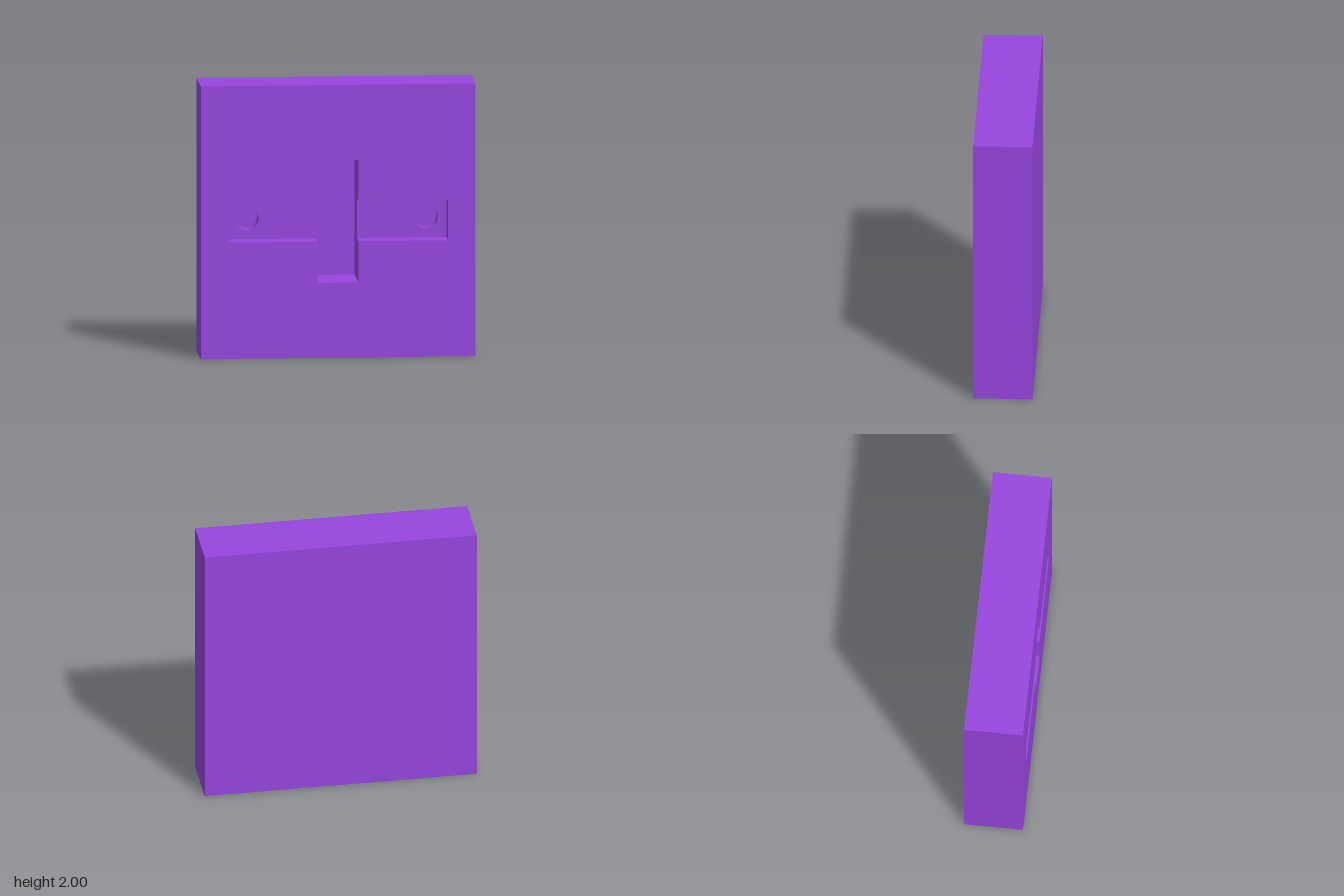
import * as THREE from 'three';
import { mergeGeometries, toCreasedNormals } from 'three/addons/utils/BufferGeometryUtils.js';

// Outlines run counter-clockwise seen from the front
const v = (x, y) => new THREE.Vector2(x, y);
const rect = (x0, x1, y0, y1) => [v(x0, y0), v(x1, y0), v(x1, y1), v(x0, y1)];
const circle = (cx, cy, r, n = 48) => Array.from({ length: n }, (_, i) => {
  const a = (i / n) * Math.PI * 2;
  return v(cx + r * Math.cos(a), cy + r * Math.sin(a));
});

// Flat face at depth z, with optional openings
function face(outline, z, holes = []) {
  const shape = new THREE.Shape(outline);
  shape.holes = holes.map((h) => new THREE.Path(h));
  const g = new THREE.ShapeGeometry(shape).toNonIndexed().translate(0, 0, z);
  g.deleteAttribute('uv');
  g.deleteAttribute('normal');
  return g;
}

// Strip of walls along an outline: outward when z0 < z1, inward when z0 > z1
function walls(outline, z0, z1) {
  const p = [];
  outline.forEach((a, i) => {
    const b = outline[(i + 1) % outline.length];
    p.push(a.x, a.y, z0, b.x, b.y, z0, b.x, b.y, z1);
    p.push(a.x, a.y, z0, b.x, b.y, z1, a.x, a.y, z1);
  });
  const g = new THREE.BufferGeometry();
  g.setAttribute('position', new THREE.Float32BufferAttribute(p, 3));
  return g;
}

export function createModel() {
  const model = new THREE.Group();
  const material = new THREE.MeshStandardMaterial({ color: 0x9645de });
  const add = (name, parts) => {
    const mesh = new THREE.Mesh(toCreasedNormals(mergeGeometries(parts), 0.5), material);
    mesh.name = name;
    model.add(mesh);
  };

  const front = 0.215, back = -0.215;
  const pocketZ = front - 0.17, slotZ = front - 0.395, holeZ = pocketZ - 0.13;
  const sx = 0.148, px = 0.8, y0 = 0.852, y1 = 1.148, s0 = 0.55, s1 = 1.45;

  const block = rect(-1, 1, 0, 2);
  const slot = rect(-sx, sx, s0, s1);
  const cross = [
    v(-sx, s0), v(sx, s0), v(sx, y0), v(px, y0), v(px, y1), v(sx, y1),
    v(sx, s1), v(-sx, s1), v(-sx, y1), v(-px, y1), v(-px, y0), v(-sx, y0),
  ];

  // Block with a cross-shaped opening in its front
  const backFace = face(block, 0).rotateY(Math.PI).translate(0, 0, back);
  add('block', [face(block, front, [cross]), walls(block, back, front), backFace]);

  // Deep upright slot and the shallow walls around the cross
  add('crossRecessWalls', [walls(cross, front, pocketZ)]);
  add('deepSlot', [walls(slot, pocketZ, slotZ), face(slot, slotZ)]);

  // Shallow side pockets, each with a blind round hole
  for (const [side, s] of [['left', 1], ['right', -1]]) {
    const hole = circle(s * 0.652, 1, 0.085);
    const floor = s > 0 ? rect(sx, px, y0, y1) : rect(-px, -sx, y0, y1);
    add(side + 'PocketFloor', [face(floor, pocketZ, [hole])]);
    add(side + 'Hole', [walls(hole, pocketZ, holeZ), face(hole, holeZ)]);
  }
  return model;
}
